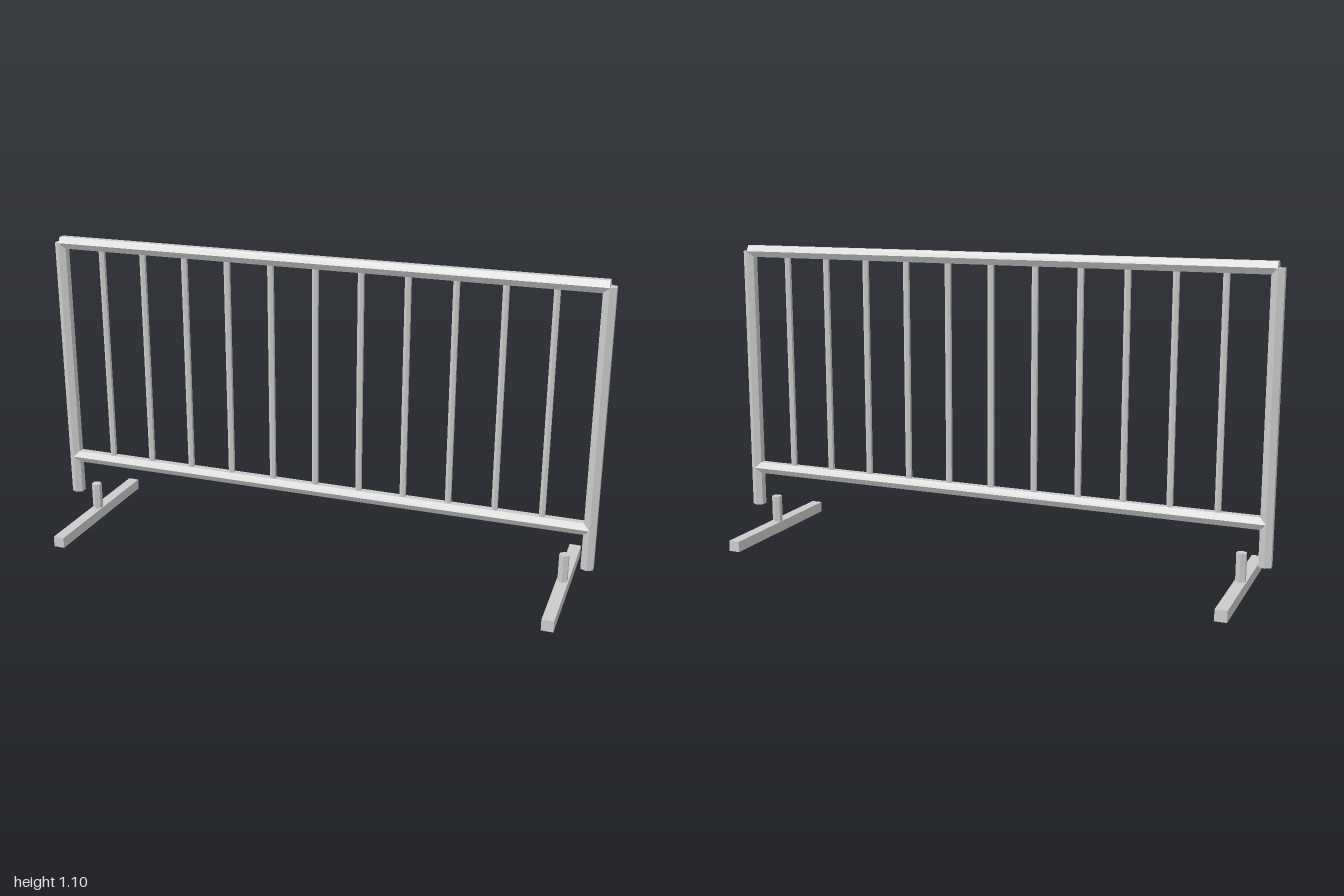
import * as THREE from 'three';

export function createModel() {
  const model = new THREE.Group();
  const material = new THREE.MeshStandardMaterial({ color: 0xcccccc, flatShading: true });

  function add(name, geometry, x, y, z = 0) {
    const mesh = new THREE.Mesh(geometry, material);
    mesh.name = name;
    mesh.position.set(x, y, z);
    model.add(mesh);
    return mesh;
  }

  // Upright hexagonal tube between two heights
  function upright(name, radius, x, y0, y1) {
    return add(name, new THREE.CylinderGeometry(radius, radius, y1 - y0, 6), x, (y0 + y1) / 2);
  }

  const postX = 0.979, railTop = 1.078, railBottom = 0.247, tube = 0.0245;

  // Horizontal rails
  for (const [name, y] of [['topRail', railTop], ['bottomRail', railBottom]]) {
    const rail = new THREE.CylinderGeometry(tube, tube, postX * 2, 6).rotateZ(Math.PI / 2);
    add(name, rail, 0, y);
  }

  // End posts, feet and the stubs standing on the feet
  for (const [side, s] of [['left', 1], ['right', -1]]) {
    upright(side + 'Post', tube, s * postX, 0.1, railTop);
    add(side + 'Foot', new THREE.BoxGeometry(0.041, 0.039, 0.587), s * 0.9, 0.0195);
    upright(side + 'FootStub', 0.0188, s * 0.9, 0.038, 0.138);
  }

  // Evenly spaced infill bars
  const gaps = 12;
  for (let i = 1; i < gaps; i++) {
    upright('bar' + i, 0.0118, -postX + (2 * postX * i) / gaps, railBottom, railTop);
  }

  return model;
}
